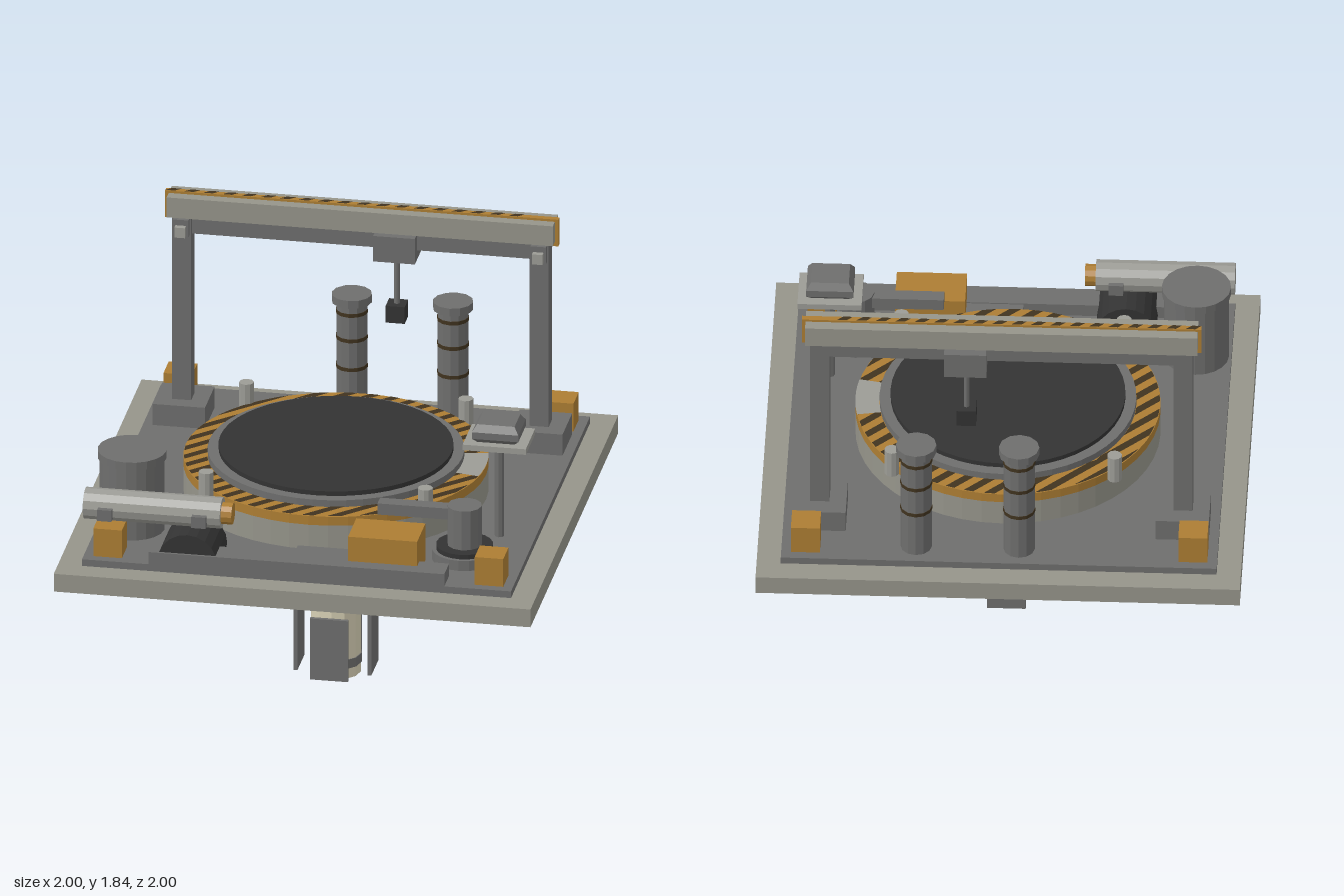
import * as THREE from 'three';

const mat = (name, color) => {
  const m = new THREE.MeshStandardMaterial({ color, flatShading: true });
  m.name = name;
  return m;
};

export function createModel() {
  const concrete = mat('concrete', 0x95948a);
  const steel = mat('steel', 0x6e6e6d);
  const ochre = mat('ochre', 0xac7d33);
  const stripe = mat('darkStripe', 0x40331f);
  const black = mat('black', 0x333333);
  const cream = mat('cream', 0xd6cfb4);
  const pale = mat('paleMetal', 0x9b9b95);

  const root = new THREE.Group();
  root.name = 'launchSilo';

  const add = (name, geo, m, x = 0, y = 0, z = 0) => {
    const mesh = new THREE.Mesh(geo, m);
    mesh.name = name;
    mesh.position.set(x, y, z);
    root.add(mesh);
    return mesh;
  };
  // box given by its min and max on each axis
  const box = (name, m, x0, x1, y0, y1, z0, z1) =>
    add(name, new THREE.BoxGeometry(x1 - x0, y1 - y0, z1 - z0), m,
      (x0 + x1) / 2, (y0 + y1) / 2, (z0 + z1) / 2);
  // upright cylinder from y0 to y1
  const cyl = (name, m, x, z, y0, y1, r, n = 12, rTop = r) =>
    add(name, new THREE.CylinderGeometry(rTop, r, y1 - y0, n), m, x, (y0 + y1) / 2, z);
  // flat upward-facing plate from points in (x, -z)
  const plate = (name, m, pts, y) =>
    add(name, new THREE.ShapeGeometry(new THREE.Shape(pts.map(p => new THREE.Vector2(...p)))), m, 0, y, 0)
      .rotateX(-Math.PI / 2);

  // ground slab and floor
  box('slab', concrete, -1, 1, 0.71, 0.79, -1, 1);
  box('floor', steel, -0.9, 0.9, 0.79, 0.82, -0.9, 0.9);

  // rocket below the slab
  cyl('rocketBody', cream, 0, 0, 0, 0.64, 0.105);
  cyl('rocketNose', ochre, 0, 0, 0.64, 0.72, 0.105, 12, 0.065);
  cyl('rocketBand', steel, 0, 0, 0.485, 0.525, 0.109);
  cyl('rocketBand', steel, 0, 0, 0.045, 0.085, 0.109);
  for (const s of [-1, 1]) {
    const c = s * 0.155;
    box('rocketFin', steel, c - 0.008, c + 0.008, 0.02, 0.295, -0.08, 0.08);
    box('rocketFin', steel, -0.08, 0.08, 0.02, 0.295, c - 0.008, c + 0.008);
  }

  // silo collar, hazard ring and hatch
  cyl('siloWall', concrete, 0, 0, 0.82, 0.93, 0.63, 48);
  cyl('hazardRing', ochre, 0, 0, 0.93, 0.97, 0.63, 48);
  cyl('hatchRim', steel, 0, 0, 0.97, 1.0, 0.53, 48);
  cyl('hatch', black, 0, 0, 1.0, 1.02, 0.485, 48);

  // diagonal stripes clipped to the hazard ring
  const ri = 0.531, ro = 0.627, q = Math.SQRT1_2, period = 0.0705;
  const toXY = (u, v) => [(u + v) * q, (v - u) * q];
  const half = (r, u) => Math.sqrt(Math.max(0, r * r - u * u));
  const band = (us, lo, hi) => plate('ringStripe', stripe, [
    ...us.map(u => toXY(u, lo(u))),
    ...us.slice().reverse().map(u => toXY(u, hi(u)))], 0.972);
  for (let k = -9; k < 9; k++) {
    const a = Math.max(-ro + 0.001, k * period);
    const b = Math.min(ro - 0.001, k * period + period * 0.48);
    if (b <= a) continue;
    const us = [0, 1, 2, 3, 4].map(i => a + (b - a) * i / 4);
    const inner = u => half(ri, u);
    const outer = u => half(ro, u);
    if (Math.min(Math.abs(a), Math.abs(b)) >= ri) band(us, u => -outer(u), outer);
    else {
      band(us, inner, outer);
      band(us, u => -outer(u), u => -inner(u));
    }
  }
  // bare patch on the ring
  add('ringGap', new THREE.RingGeometry(0.53, 0.63, 6, 1, -0.19, 0.38), pale, 0, 0.975, 0)
    .rotateX(-Math.PI / 2);

  for (const x of [-0.46, 0.46]) for (const z of [-0.46, 0.46])
    cyl('ringPost', pale, x, z, 0.94, 1.06, 0.031, 10);

  // corner boxes
  for (const x of [-0.8, 0.8]) for (const z of [-0.8, 0.8])
    box('cornerBox', ochre, x - 0.06, x + 0.06, 0.82, 0.945, z - 0.06, z + 0.06);

  // gantry
  for (const x of [-0.75, 0.75]) {
    box('gantryFoot', steel, x - 0.11, x + 0.11, 0.82, 0.915, -0.71, -0.49);
    box('gantryLeg', steel, x - 0.04, x + 0.04, 0.915, 1.74, -0.635, -0.555);
    box('lampBracket', steel, x - 0.033, x + 0.033, 1.66, 1.735, -0.56, -0.535);
    box('lamp', pale, x - 0.022, x + 0.022, 1.665, 1.71, -0.535, -0.51);
  }
  box('gantryBeam', concrete, -0.81, 0.81, 1.74, 1.83, -0.66, -0.54);
  box('lowerBeam', steel, -0.71, 0.71, 1.66, 1.74, -0.625, -0.575);
  box('hazardRail', ochre, -0.825, 0.825, 1.72, 1.84, -0.613, -0.587);
  for (let x = -0.8; x < 0.68; x += 0.08)
    plate('railStripe', stripe,
      [[x - 0.025, 0.588], [x + 0.015, 0.588], [x + 0.04, 0.612], [x, 0.612]], 1.842);

  // hoist
  box('trolley', steel, 0.06, 0.235, 1.62, 1.735, -0.69, -0.52);
  cyl('hoistCable', steel, 0.145, -0.6, 1.4, 1.62, 0.012, 8);
  box('hoistBlock', black, 0.105, 0.185, 1.33, 1.405, -0.64, -0.56);

  // exhaust stacks
  for (const x of [-0.08, 0.345]) {
    cyl('stack', steel, x, -0.795, 0.82, 1.31, 0.065);
    cyl('stackCap', steel, x, -0.795, 1.31, 1.345, 0.084);
    for (const y of [1.025, 1.155, 1.27])
      cyl('stackBand', stripe, x, -0.795, y - 0.008, y + 0.008, 0.067);
  }

  // upright tank
  cyl('storageTank', steel, -0.755, 0.545, 0.82, 1.145, 0.135, 20);
  cyl('tankLid', steel, -0.755, 0.545, 1.14, 1.175, 0.143, 20);

  // lying fuel tank with clamps
  const lying = (name, m, x0, x1, r) => {
    const g = new THREE.CylinderGeometry(r, r, x1 - x0, 12).rotateZ(Math.PI / 2);
    add(name, g, m, (x0 + x1) / 2, 1.03, 0.795);
  };
  lying('fuelTank', pale, -0.905, -0.33, 0.066);
  lying('fuelTankNozzle', ochre, -0.335, -0.285, 0.046);
  for (const x of [-0.81, -0.415])
    box('tankClamp', steel, x - 0.03, x + 0.03, 0.99, 1.04, 0.71, 0.882);

  // cable drum and trench box
  add('cableDrum', new THREE.CylinderGeometry(0.125, 0.125, 0.23, 20).rotateX(Math.PI / 2),
    black, -0.46, 0.835, 0.775);
  box('trench', steel, -0.62, 0.62, 0.82, 0.875, 0.79, 0.9);
  box('trenchStep', steel, -0.03, 0.24, 0.82, 0.87, 0.71, 0.79);
  box('crate', ochre, 0.205, 0.495, 0.82, 0.985, 0.65, 0.84);

  // small turret
  cyl('turretBase', steel, 0.65, 0.6, 0.82, 0.865, 0.135, 20);
  cyl('turretRing', black, 0.65, 0.6, 0.865, 0.885, 0.118, 20);
  cyl('turretDrum', steel, 0.65, 0.6, 0.885, 1.06, 0.072, 12);
  box('turretArm', steel, 0.29, 0.6, 1.0, 1.05, 0.57, 0.63);

  // sensor stand
  cyl('sensorPost', steel, 0.75, 0.35, 0.82, 1.24, 0.02, 8);
  box('sensorPlate', pale, 0.615, 0.88, 1.24, 1.265, 0.24, 0.455);
  // bevelled head: two box halves tapered away from the middle
  const tapered = (y0, y1, shrinkTop) => {
    const mesh = box('sensorHead', steel, 0.65, 0.845, y0, y1, 0.265, 0.435);
    const p = mesh.geometry.attributes.position;
    for (let i = 0; i < p.count; i++)
      if ((p.getY(i) > 0) === shrinkTop) p.setXYZ(i, p.getX(i) * 0.8, p.getY(i), p.getZ(i) * 0.78);
    mesh.geometry.computeVertexNormals();
  };
  tapered(1.265, 1.285, false);
  box('sensorHead', steel, 0.65, 0.845, 1.285, 1.315, 0.265, 0.435);
  tapered(1.315, 1.345, true);

  return root;
}
